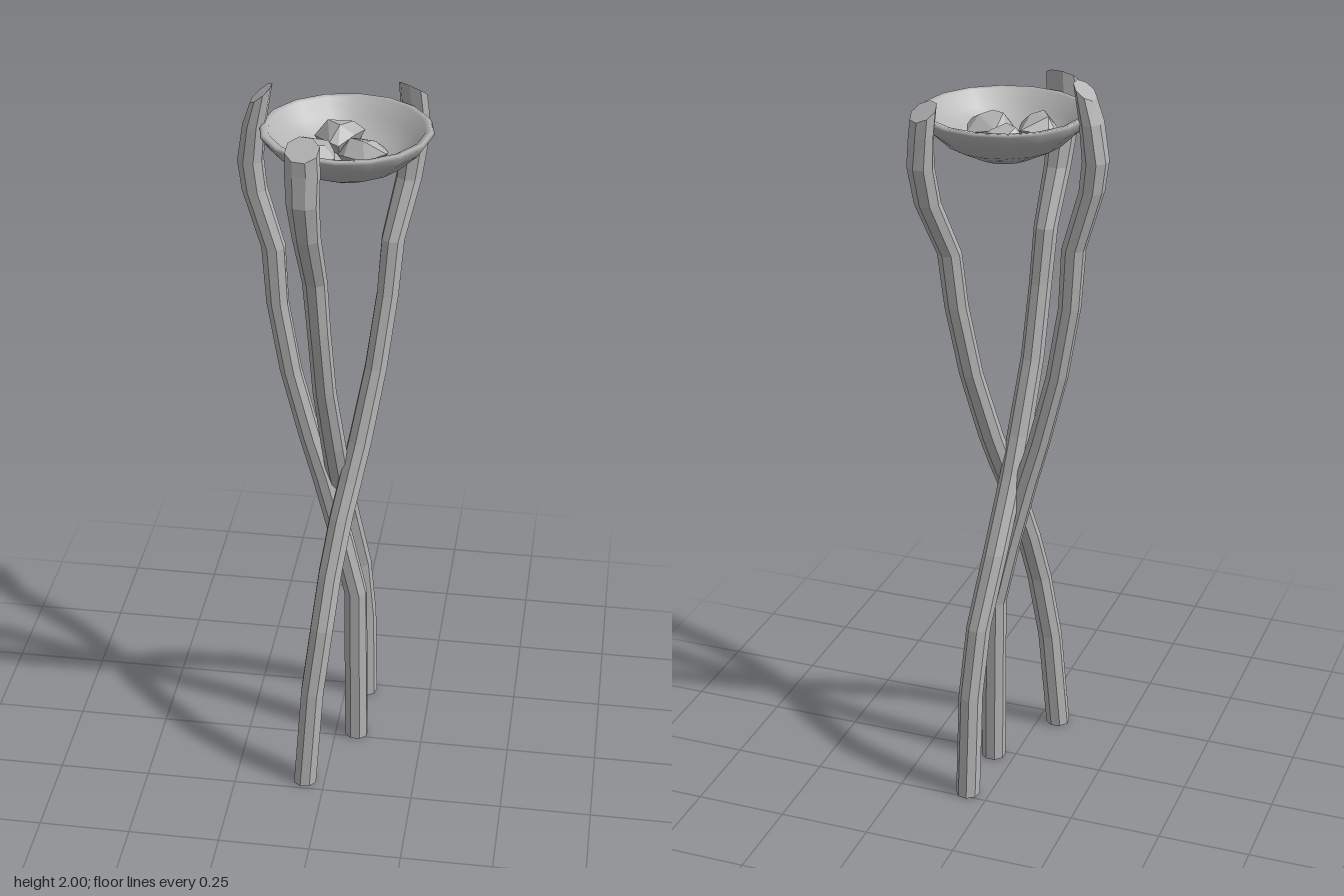
import * as THREE from 'three';
import { ConvexGeometry } from 'three/addons/geometries/ConvexGeometry.js';

const SIDES = 8;

// Branch-like pole: rings of [y, x, z, radial radius, tangential radius], slanted at the tip
function poleGeometry(path, angle) {
  const pos = [], idx = [];
  const u = [Math.cos(angle), Math.sin(angle)];
  path.forEach(([y, x, z, ru = 0.034, rw = 0.033], i) => {
    const slant = i === path.length - 1 ? 0.022 : 0;
    for (let j = 0; j < SIDES; j++) {
      const a = ((j + 0.5) / SIDES) * Math.PI * 2;
      const p = ru * Math.cos(a), q = rw * Math.sin(a);
      pos.push(x + u[0] * p - u[1] * q, y - slant * Math.cos(a), z + u[1] * p + u[0] * q);
    }
  });
  const last = path.length - 1;
  for (let i = 0; i < last; i++) {
    for (let j = 0; j < SIDES; j++) {
      const k = (j + 1) % SIDES;
      const a = i * SIDES + j, b = i * SIDES + k;
      idx.push(a, a + SIDES, b, b, a + SIDES, b + SIDES);
    }
  }
  // end caps
  for (let j = 1; j < SIDES - 1; j++) {
    const t = last * SIDES;
    idx.push(0, j, j + 1, t, t + j + 1, t + j);
  }
  const g = new THREE.BufferGeometry();
  g.setAttribute('position', new THREE.Float32BufferAttribute(pos, 3));
  g.setIndex(idx);
  g.computeVertexNormals();
  return g;
}

// Faceted stone grown from its outline [x, z]
function stoneGeometry(outline, base, height) {
  const n = outline.length;
  const cx = outline.reduce((s, p) => s + p[0], 0) / n;
  const cz = outline.reduce((s, p) => s + p[1], 0) / n;
  const pts = [];
  outline.forEach(([x, z], i) => {
    const wob = (i % 3) * 0.008;
    pts.push(new THREE.Vector3(x, base + height * 0.45 + wob, z));
    if (i % 2 === 0) {
      pts.push(new THREE.Vector3(cx + (x - cx) * 0.5, base + height - wob, cz + (z - cz) * 0.5));
      pts.push(new THREE.Vector3(cx + (x - cx) * 0.6, base, cz + (z - cz) * 0.6));
    }
  });
  return new ConvexGeometry(pts);
}

export function createModel() {
  const group = new THREE.Group();
  const grey = new THREE.MeshStandardMaterial({ color: 0xb4b4b4 });
  grey.name = 'grey';
  const greyFaceted = grey.clone();
  greyFaceted.name = 'grey faceted';
  greyFaceted.flatShading = true;

  const add = (name, geometry, material) => {
    const m = new THREE.Mesh(geometry, material);
    m.name = name;
    group.add(m);
    return m;
  };

  // three crossing poles
  add('rightPole', poleGeometry([
    [0, 0.06, -0.02], [0.5, 0.055, -0.02, 0.033, 0.03], [0.68, 0.015, -0.018, 0.033, 0.03],
    [0.88, -0.035, -0.016, 0.033, 0.03], [1.0, -0.07, -0.015, 0.031, 0.029], [1.2, -0.12, -0.015, 0.03, 0.029],
    [1.4, -0.153, -0.015, 0.03, 0.03], [1.56, -0.162, -0.015, 0.032, 0.032], [1.72, -0.208, -0.015, 0.033, 0.037],
    [1.8, -0.217, -0.015, 0.034, 0.041], [1.9, -0.205, -0.015, 0.03, 0.046], [1.978, -0.187, -0.015, 0.028, 0.044],
  ], Math.PI), greyFaceted);

  add('frontPole', poleGeometry([
    [0, 0.06, -0.226], [0.3, 0.058, -0.203], [0.5, 0.046, -0.17], [0.7, 0.022, -0.1],
    [0.85, 0.01, -0.03], [0.9, 0.006, -0.008], [1.0, 0, 0.03], [1.2, -0.015, 0.09, 0.032, 0.031],
    [1.4, -0.023, 0.13, 0.032, 0.03], [1.55, -0.03, 0.15, 0.032, 0.032], [1.7, -0.04, 0.213, 0.034, 0.036],
    [1.8, -0.046, 0.232, 0.033, 0.042], [1.88, -0.047, 0.228, 0.028, 0.046], [1.938, -0.048, 0.222, 0.032, 0.044],
  ], 1.75), greyFaceted);

  add('backPole', poleGeometry([
    [0, -0.055, 0.211], [0.3, -0.036, 0.19], [0.5, -0.013, 0.16], [0.65, 0.003, 0.112],
    [0.8, 0.026, 0.06], [0.9, 0.046, 0.02], [1.0, 0.066, -0.013], [1.2, 0.1, -0.068, 0.032, 0.031],
    [1.4, 0.124, -0.106, 0.032, 0.03], [1.55, 0.134, -0.125, 0.032, 0.032], [1.7, 0.166, -0.188, 0.034, 0.036],
    [1.8, 0.177, -0.204, 0.034, 0.04], [1.88, 0.176, -0.2, 0.029, 0.044], [1.938, 0.171, -0.194, 0.032, 0.042],
  ], -0.9), greyFaceted);

  // shallow bowl with an open hollow
  const profile = [
    [0, 1.77], [0.07, 1.784], [0.15, 1.823], [0.2, 1.87], [0.219, 1.898],
    [0.213, 1.905], [0.197, 1.903], [0.17, 1.865], [0.125, 1.83], [0.07, 1.81], [0, 1.803],
  ].map(([x, y]) => new THREE.Vector2(x, y));
  const bowl = add('bowl', new THREE.LatheGeometry(profile, 16), grey);
  bowl.position.set(0.028, 0, -0.006);

  // stones lying in the bowl
  const outlines = [
    [[-0.065, -0.082], [-0.035, -0.118], [-0.005, -0.145], [0.045, -0.138], [0.06, -0.118], [0.04, -0.06], [0.005, -0.022], [-0.018, -0.025]],
    [[0.01, 0.028], [0.02, -0.015], [0.04, -0.046], [0.118, -0.036], [0.135, 0.012], [0.133, 0.042], [0.08, 0.06], [0.028, 0.051]],
    [[-0.107, 0.015], [-0.09, -0.006], [-0.02, -0.02], [-0.003, 0.002], [0.01, 0.07], [-0.02, 0.105], [-0.05, 0.116], [-0.09, 0.062]],
  ];
  outlines.forEach((o, i) => add('stone' + (i + 1), stoneGeometry(o, 1.807, 0.08), greyFaceted));

  return group;
}
